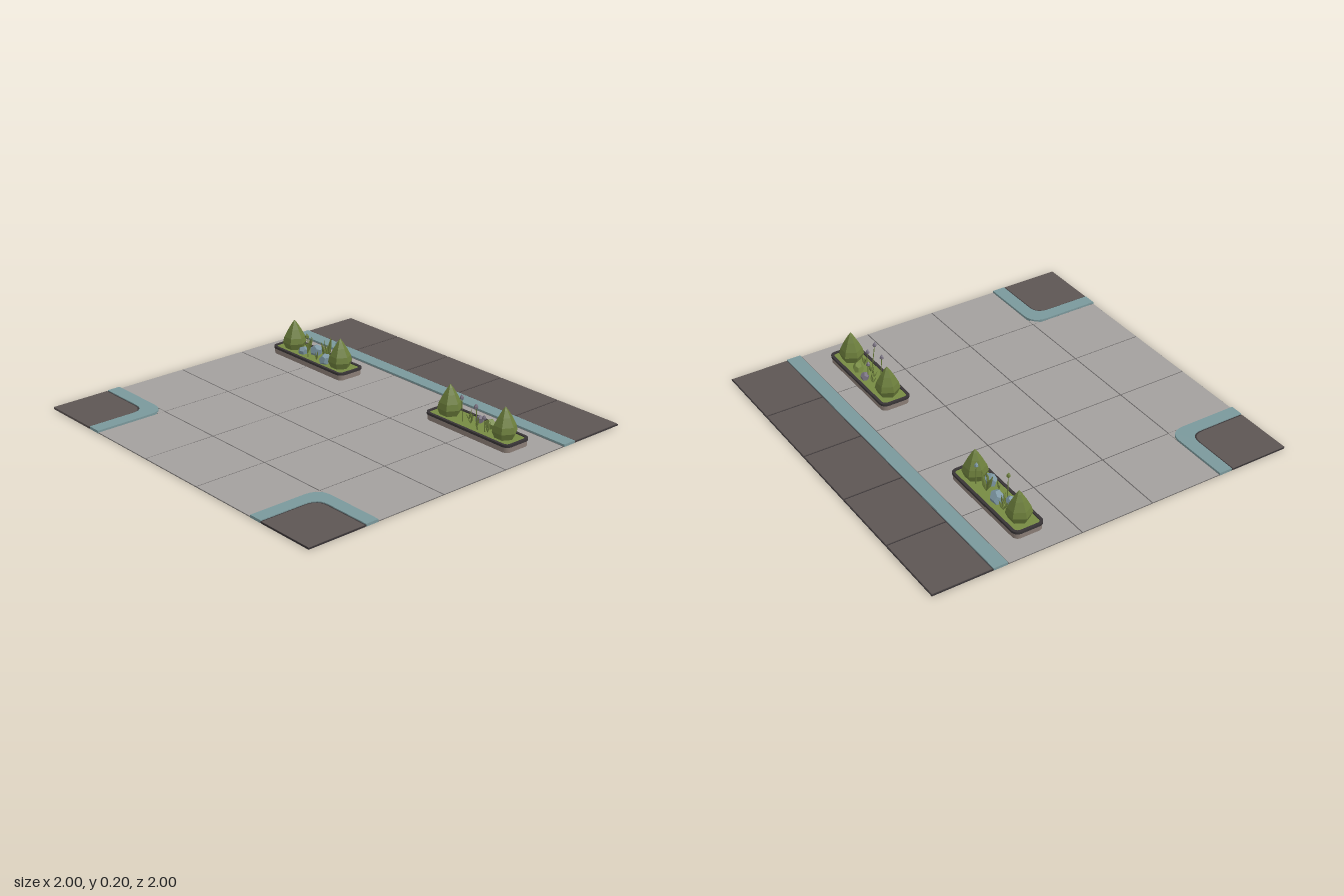
import * as THREE from 'three';

const mat = (name, color) => {
  const m = new THREE.MeshStandardMaterial({ color });
  m.name = name;
  return m;
};

export function createModel() {
  const root = new THREE.Group();
  root.name = 'plaza';
  const paver = mat('paverGrey', 0xa3a09e);
  const grout = mat('groutGrey', 0x5f5c5c);
  const slab = mat('darkPaving', 0x5d5553);
  const teal = mat('kerbTeal', 0x7a989b);
  const stone = mat('planterStone', 0x8a7d75);
  const rimDark = mat('rimCharcoal', 0x383436);
  const grass = mat('grassGreen', 0x768a42);
  const leaf = mat('leafGreen', 0x6b7d3b);
  const rock = mat('rockBlue', 0x7c96a2);
  const petal = mat('petalMauve', 0x77707f);

  const add = (parent, name, geo, material) => {
    const mesh = new THREE.Mesh(geo, material);
    mesh.name = name;
    parent.add(mesh);
    return mesh;
  };
  // Box given by its extents
  const block = (parent, name, m, x0, x1, y0, y1, z0, z1) =>
    add(parent, name, new THREE.BoxGeometry(x1 - x0, y1 - y0, z1 - z0)
      .translate((x0 + x1) / 2, (y0 + y1) / 2, (z0 + z1) / 2), m);
  // Plan outline (x, z) raised from y0 to y1
  const raise = (parent, name, m, shape, y0, y1) =>
    add(parent, name, new THREE.ExtrudeGeometry(shape, { depth: y1 - y0, bevelEnabled: false, curveSegments: 6 })
      .rotateX(Math.PI / 2).translate(0, y1, 0), m);
  const facet = (geo) => {
    const g = geo.index ? geo.toNonIndexed() : geo;
    g.computeVertexNormals();
    return g;
  };
  const lathe = (pts, sides) => facet(new THREE.LatheGeometry(
    pts.map(([r, y]) => new THREE.Vector2(r, y)), sides, Math.PI / 2));

  // Pavers with dark joints
  const floor = new THREE.Group();
  floor.name = 'floor';
  root.add(floor);
  block(floor, 'joints', grout, -0.999, 0.999, 0.001, 0.003, -0.605, 0.6);
  block(floor, 'frontJoints', grout, -0.6, 0.6, 0.001, 0.003, 0.6, 0.999);
  const gap = 0.003;
  for (let i = 0; i < 5; i++) {
    const x = -1 + i * 0.4;
    for (let j = 0; j < 4; j++) {
      if (j === 3 && (i === 0 || i === 4)) continue;
      const z = -0.6 + j * 0.4;
      block(floor, 'paver', paver, x + gap, x + 0.4 - gap, 0, 0.005, z + gap, z + 0.4 - gap);
    }
  }

  // Back roadway and kerb
  block(root, 'roadJoints', rimDark, -1, 1, 0.001, 0.006, -1, -0.68);
  for (let i = 0; i < 5; i++) {
    const x = -1 + i * 0.4;
    block(root, 'roadSlab', slab, x + 0.005, x + 0.395, 0, 0.01, -0.997, -0.686);
  }
  block(root, 'backKerb', teal, -1, 1, 0, 0.013, -0.68, -0.605);

  // Rounded front corners: s mirrors them in x
  const corner = (s, a, r, close) => {
    const p = new THREE.Shape();
    p.moveTo(s * a, 1);
    p.lineTo(s * a, a + r);
    p.quadraticCurveTo(s * a, a, s * (a + r), a);
    p.lineTo(s, a);
    if (close) p.lineTo(s, 1);
    return p;
  };
  for (const s of [-1, 1]) {
    const kerb = corner(s, 0.6, 0.09, false);
    const inner = corner(s, 0.672, 0.075, false).getPoints(6).reverse();
    inner.forEach((p) => kerb.lineTo(p.x, p.y));
    raise(root, 'cornerKerb', teal, kerb, 0, 0.014);
    raise(root, 'cornerJoint', rimDark, corner(s, 0.672, 0.075, true), 0.001, 0.009);
    raise(root, 'cornerSlab', slab, corner(s, 0.68, 0.07, true), 0, 0.011);
    block(root, 'cornerPaver', paver, s * 0.62 - 0.02, s * 0.62 + 0.02, 0.001, 0.005, 0.6, 0.64);
  }

  // Rounded rectangle centred on the origin
  const rounded = (w, d, r, Type = THREE.Shape) => {
    const p = new Type();
    const x = w / 2, y = d / 2, h = Math.PI / 2;
    p.moveTo(-x + r, -y);
    p.absarc(x - r, -y + r, r, -h, 0);
    p.absarc(x - r, y - r, r, 0, h);
    p.absarc(-x + r, y - r, r, h, 2 * h);
    p.absarc(-x + r, -y + r, r, 2 * h, 3 * h);
    p.closePath();
    return p;
  };

  const shrubGeo = lathe([[0, 0], [0.05, 0], [0.065, 0.035], [0.057, 0.066], [0.034, 0.11], [0.014, 0.142], [0, 0.16]], 6);
  const leafGeo = lathe([[0, 0], [0.09, 0.35], [0.06, 0.7], [0, 1]], 4);
  const budGeo = lathe([[0, 0], [0.011, 0.01], [0.009, 0.02], [0, 0.032]], 5);
  const rockGeo = facet(new THREE.DodecahedronGeometry(1));
  const soilY = 0.04;

  // Fan of pointed leaves
  const tuft = (parent, x, z, h, n) => {
    const g = new THREE.Group();
    g.name = 'grassTuft';
    g.position.set(x, soilY, z);
    for (let i = 0; i < n; i++) {
      const m = add(g, 'leafBlade', leafGeo, leaf);
      const k = h * (1 - 0.17 * (i % 3));
      m.scale.set(k, k, k * 0.4);
      m.rotation.set(0, i * 2.4 + x * 9, -0.2 - 0.14 * (i % 3), 'YXZ');
    }
    parent.add(g);
  };
  // Thin stem carrying a bud
  const flower = (parent, x, z, h, lean, m) => {
    const g = new THREE.Group();
    g.name = 'flower';
    g.position.set(x, soilY, z);
    g.rotation.set(lean, 0, -lean * 0.4);
    add(g, 'stem', new THREE.CylinderGeometry(0.002, 0.003, h, 5).translate(0, h / 2, 0), leaf);
    add(g, 'bud', budGeo, m).position.y = h - 0.004;
    parent.add(g);
  };
  const boulder = (parent, x, z, r, m) => {
    const b = add(parent, 'rock', rockGeo, m);
    b.position.set(x, soilY + r * 0.55, z);
    b.scale.set(r, r * 0.85, r * 0.85);
    b.rotation.set(x * 7, z * 11 + x * 5, 0.4);
  };

  const planter = (name, x) => {
    const g = new THREE.Group();
    g.name = name;
    g.position.set(x, 0, -0.408);
    raise(g, 'wall', stone, rounded(0.56, 0.158, 0.03), 0.002, 0.034);
    const rim = rounded(0.57, 0.168, 0.035);
    rim.holes.push(rounded(0.54, 0.138, 0.022, THREE.Path));
    raise(g, 'rim', rimDark, rim, 0.034, 0.046);
    raise(g, 'turf', grass, rounded(0.54, 0.138, 0.022), 0.034, soilY + 0.001);
    for (const s of [-1, 1]) add(g, 'shrub', shrubGeo, leaf).position.set(s * 0.188, soilY, 0);
    root.add(g);
    return g;
  };

  // Right planter: boulders and tall leaves
  const a = planter('rightPlanter', -0.602);
  boulder(a, -0.028, -0.018, 0.041, rock);
  boulder(a, -0.085, 0.026, 0.031, rock);
  boulder(a, 0.1, 0.03, 0.038, rock);
  [[-0.1, -0.03, 0.085, 5], [-0.075, 0.0, 0.07, 4], [0.06, -0.02, 0.125, 5], [0.075, 0.01, 0.09, 4], [0.035, 0.035, 0.06, 3]]
    .forEach((t) => tuft(a, ...t));
  flower(a, -0.03, 0.04, 0.11, 0.06, leaf);
  flower(a, 0.135, -0.03, 0.095, 0.05, rock);

  // Left planter: flowers among small tufts
  const b = planter('leftPlanter', 0.602);
  boulder(b, -0.015, -0.036, 0.027, petal);
  boulder(b, 0.068, -0.028, 0.034, grass);
  [[-0.07, -0.02, 0.06, 4], [-0.03, 0.01, 0.06, 4], [0.02, 0.02, 0.06, 4], [0.1, 0.025, 0.06, 4]]
    .forEach((t) => tuft(b, ...t));
  flower(b, -0.075, 0.022, 0.125, 0.12, petal);
  flower(b, -0.025, -0.025, 0.075, 0.1, petal);
  flower(b, 0.045, 0.04, 0.125, 0.2, petal);
  flower(b, 0.085, 0.03, 0.07, 0.15, petal);

  return root;
}
